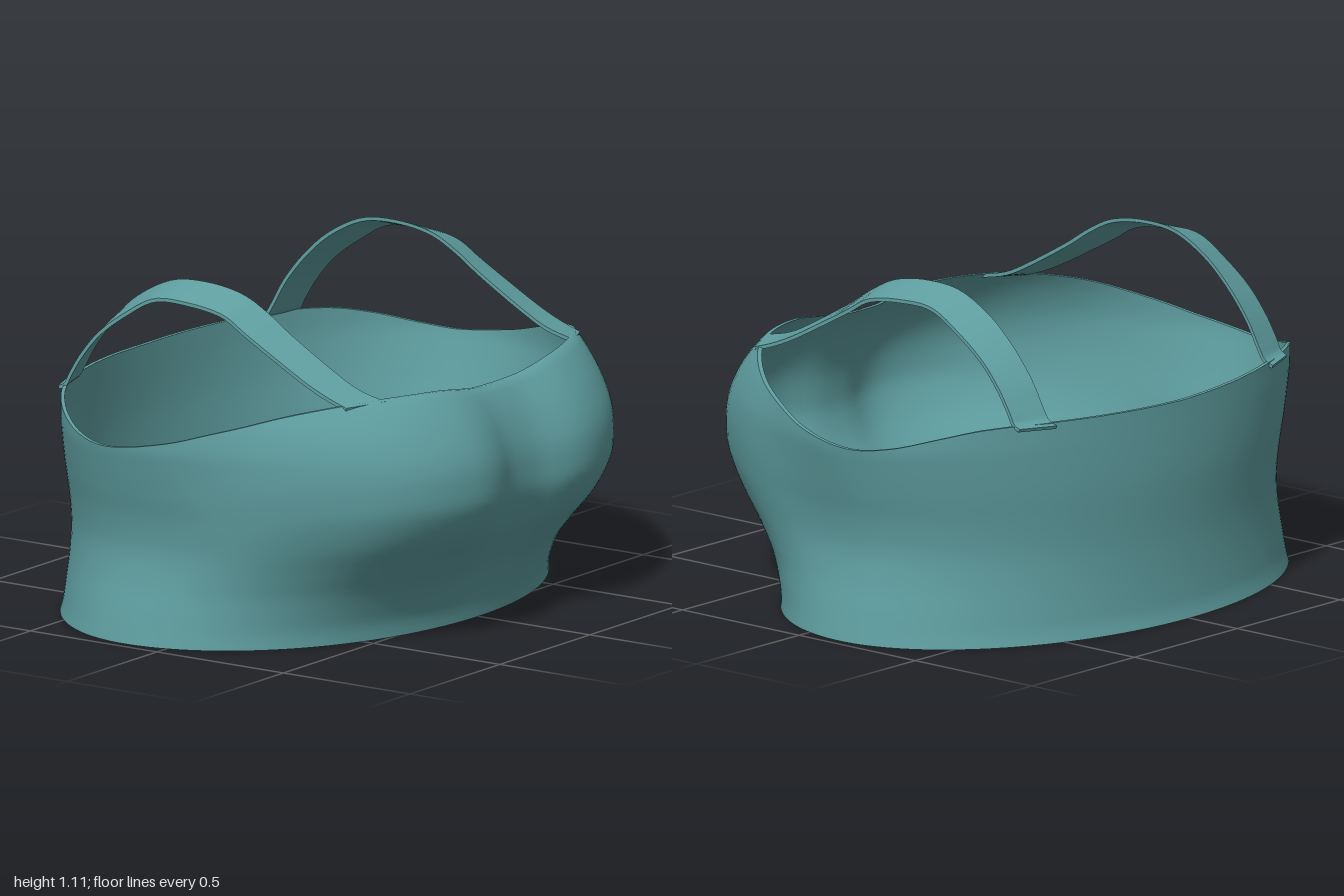
import * as THREE from 'three';
import { toCreasedNormals } from 'three/addons/utils/BufferGeometryUtils.js';

const material = new THREE.MeshStandardMaterial({ color: 0x5f9ea0, side: THREE.DoubleSide });

// Smooth curve through [t, value] pairs
function profile(pts) {
  const n = pts.length;
  const slope = i => {
    const a = pts[Math.max(i - 1, 0)], b = pts[Math.min(i + 1, n - 1)];
    return (b[1] - a[1]) / (b[0] - a[0]);
  };
  return t => {
    if (t <= pts[0][0]) return pts[0][1];
    if (t >= pts[n - 1][0]) return pts[n - 1][1];
    let i = 0;
    while (t > pts[i + 1][0]) i++;
    const [x0, y0] = pts[i], [x1, y1] = pts[i + 1];
    const d = x1 - x0, s = (t - x0) / d, s2 = s * s, s3 = s2 * s;
    return y0 * (2 * s3 - 3 * s2 + 1) + y1 * (3 * s2 - 2 * s3)
      + slope(i) * d * (s3 - 2 * s2 + s) + slope(i + 1) * d * (s3 - s2);
  };
}

// Skin a list of closed cross-sections
function skin(rings, closed) {
  const m = rings[0].length, n = rings.length, index = [];
  for (let i = 0; i < (closed ? n : n - 1); i++) {
    for (let j = 0; j < m; j++) {
      const a = i * m + j, b = i * m + (j + 1) % m;
      const c = ((i + 1) % n) * m + j, d = ((i + 1) % n) * m + (j + 1) % m;
      index.push(a, c, b, b, c, d);
    }
  }
  if (!closed) {
    const e = (n - 1) * m;
    index.push(0, 1, 2, 0, 2, 3, e, e + 2, e + 1, e, e + 3, e + 2);
  }
  const geo = new THREE.BufferGeometry();
  geo.setAttribute('position', new THREE.Float32BufferAttribute(rings.flat(2), 3));
  geo.setIndex(index);
  return toCreasedNormals(geo, 0.9);
}

// Body: half width and back depth by height, rim height by angle from the front
const CZ = -0.15;
const halfWidth = profile([[0, 0.97], [0.1, 0.95], [0.2, 0.928], [0.3, 0.918], [0.4, 0.932],
  [0.5, 0.96], [0.6, 0.987], [0.66, 1.0], [0.82, 1.0]]);
const backDepth = profile([[0, 0.645], [0.05, 0.632], [0.25, 0.62], [0.5, 0.625], [0.73, 0.615]]);
const rimHeight = profile([[0, 0.785], [6, 0.788], [12, 0.802], [18, 0.815], [30, 0.82], [40, 0.812],
  [53, 0.782], [65, 0.733], [78, 0.683], [95, 0.652], [108, 0.665], [122, 0.702], [132, 0.724],
  [145, 0.73], [180, 0.72]]);
// Bust: forward swell across the width and up the height
const swellAcross = profile([[0, 0.185], [0.08, 0.193], [0.2, 0.245], [0.3, 0.272], [0.45, 0.28],
  [0.6, 0.262], [0.75, 0.205], [0.85, 0.15], [0.93, 0.06], [1, 0]]);
const swellUp = profile([[0, 0], [0.06, 0.04], [0.17, 0.25], [0.26, 0.52], [0.35, 0.8], [0.44, 0.97],
  [0.5, 1], [0.6, 0.95], [0.7, 0.77], [0.78, 0.54], [0.82, 0.38]]);

function bodyPoint(angle, v, inset) {
  const deg = Math.abs(angle) * 180 / Math.PI;
  const top = rimHeight(deg), y = top * v;
  const s = Math.sin(angle), c = Math.cos(angle);
  const x = halfWidth(y) * s;
  let z = c * (c > 0 ? 0.71 : backDepth(y));
  if (c > 0) z += swellAcross(Math.abs(x)) * swellUp(v * 0.82) * Math.min(1, c * 4);
  const k = 1 - inset / Math.hypot(x, z);
  return [x * k, y, CZ + z * k];
}

function bodyGeometry() {
  const around = 144, up = 36, rings = [];
  for (let i = 0; i < around; i++) {
    const angle = -Math.PI + (i / around) * Math.PI * 2, ring = [];
    for (let j = 0; j <= up; j++) ring.push(bodyPoint(angle, j / up, 0));
    for (let j = up; j >= 0; j--) ring.push(bodyPoint(angle, j / up, 0.014));
    rings.push(ring);
  }
  return skin(rings, true);
}

// Strap: two edge curves in (z, y); the outer edge sits lower
const edge = pts => new THREE.SplineCurve(pts.map(p => new THREE.Vector2(...p)));
const innerEdge = edge([[0.565, 0.815], [0.46, 0.84], [0.36, 0.888], [0.2, 0.98], [0.1, 1.045],
  [0, 1.093], [-0.13, 1.113], [-0.27, 1.103], [-0.4, 1.04], [-0.5, 0.955], [-0.58, 0.86],
  [-0.63, 0.775], [-0.655, 0.737], [-0.69, 0.722]]);
const outerEdge = edge([[0.5, 0.808], [0.42, 0.835], [0.33, 0.875], [0.19, 0.95], [0.1, 1.0],
  [0.01, 1.05], [-0.12, 1.07], [-0.26, 1.066], [-0.38, 1.0], [-0.48, 0.925], [-0.55, 0.845],
  [-0.595, 0.775], [-0.615, 0.738], [-0.64, 0.725]]);

function strapGeometry() {
  const steps = 64, rings = [];
  for (let i = 0; i <= steps; i++) {
    const t = i / steps;
    const corners = (curve, x) => {
      const p = curve.getPoint(t), d = curve.getTangent(t);
      return [[x, p.y, p.x], [x, p.y + d.x * 0.012, p.x - d.y * 0.012]];
    };
    const [a, b] = corners(innerEdge, 0.525), [c, d] = corners(outerEdge, 0.65);
    rings.push([a, b, d, c]);
  }
  return skin(rings, false);
}

// Mirror across x = 0, keeping the faces outward
function mirrorX(geometry) {
  const geo = geometry.clone().scale(-1, 1, 1);
  for (const attr of Object.values(geo.attributes)) {
    for (let i = 0; i < attr.count; i += 3) {
      const p = new THREE.Vector3().fromBufferAttribute(attr, i + 1);
      const q = new THREE.Vector3().fromBufferAttribute(attr, i + 2);
      attr.setXYZ(i + 1, q.x, q.y, q.z);
      attr.setXYZ(i + 2, p.x, p.y, p.z);
    }
  }
  return geo;
}

export function createModel() {
  const group = new THREE.Group();
  group.name = 'croppedTop';
  const add = (name, geometry) => {
    const mesh = new THREE.Mesh(geometry, material);
    mesh.name = name;
    group.add(mesh);
  };
  add('body', bodyGeometry());
  const strap = strapGeometry();
  add('leftStrap', strap);
  add('rightStrap', mirrorX(strap));
  return group;
}
